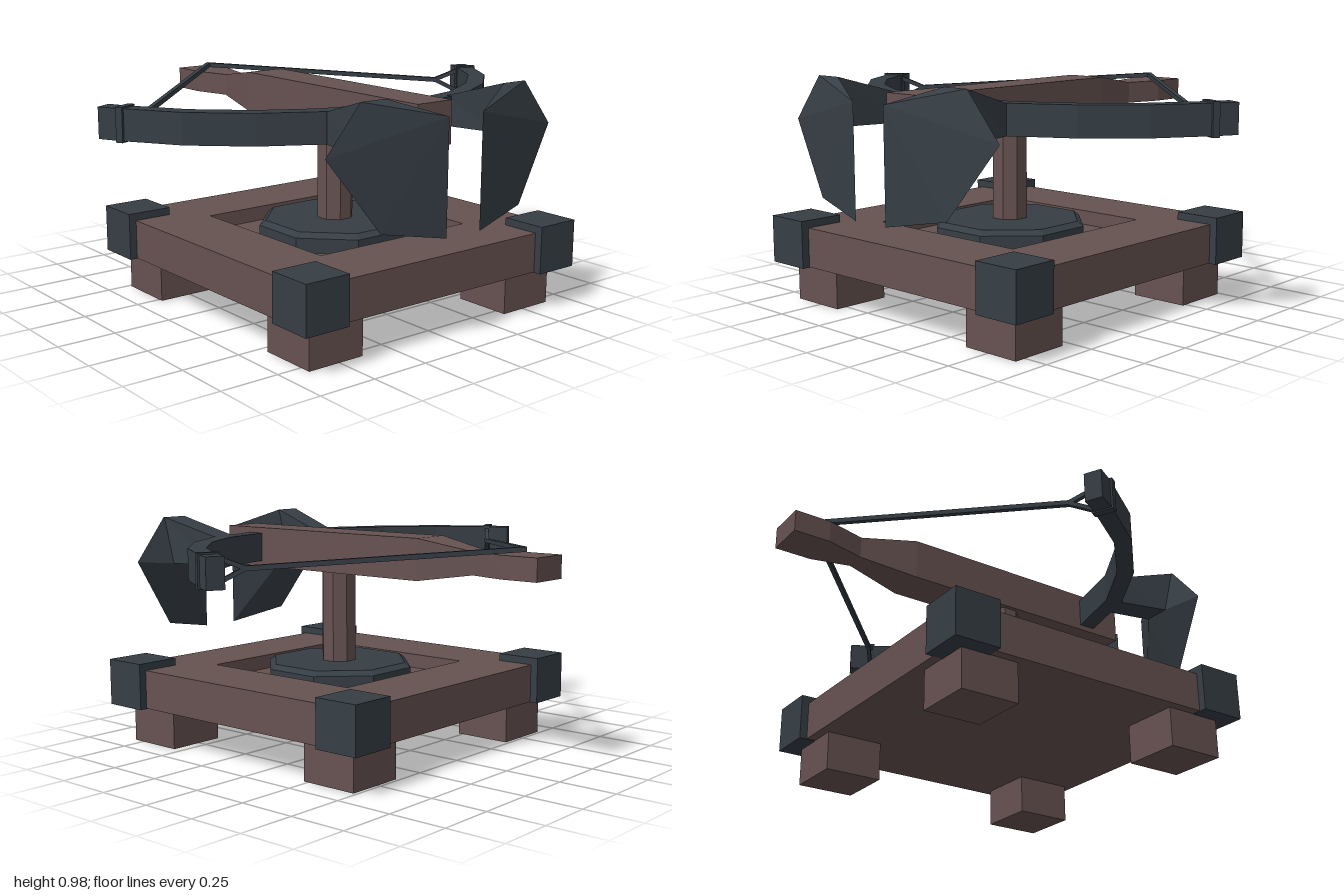
import * as THREE from 'three';
import { ConvexGeometry } from 'three/addons/geometries/ConvexGeometry.js';

const mat = (name, color) => {
  const m = new THREE.MeshStandardMaterial({ color, flatShading: true });
  m.name = name;
  return m;
};

// Joins a row of four-cornered cross-sections into a closed solid
function loft(sections) {
  const pos = [];
  const quad = (a, b, c, d) => [a, b, c, a, c, d].forEach((p) => pos.push(...p));
  for (let i = 0; i < sections.length - 1; i++) {
    const s = sections[i], t = sections[i + 1];
    for (let j = 0; j < 4; j++) {
      const k = (j + 1) % 4;
      quad(s[j], s[k], t[k], t[j]);
    }
  }
  const a = sections[0], b = sections[sections.length - 1];
  quad(a[3], a[2], a[1], a[0]);
  quad(b[0], b[1], b[2], b[3]);
  const g = new THREE.BufferGeometry();
  g.setAttribute('position', new THREE.Float32BufferAttribute(pos, 3));
  g.computeVertexNormals();
  return g;
}

// Upright rectangle across the z axis
const rectZ = (z, x0, x1, y0, y1) => [[x0, y0, z], [x1, y0, z], [x1, y1, z], [x0, y1, z]];

export function createModel() {
  const model = new THREE.Group();
  model.name = 'mountedCrossbow';
  const wood = mat('wood', 0x665251);
  const iron = mat('darkIron', 0x363e45);

  const add = (name, geo, material, x = 0, y = 0, z = 0) => {
    const m = new THREE.Mesh(geo, material);
    m.name = name;
    m.position.set(x, y, z);
    model.add(m);
    return m;
  };
  const box = (name, material, w, h, d, x, y, z) =>
    add(name, new THREE.BoxGeometry(w, h, d), material, x, y, z);
  const bar = (name, a, b, t) => {
    const p = new THREE.Vector3(...a), q = new THREE.Vector3(...b);
    const mid = p.clone().add(q).multiplyScalar(0.5);
    const m = box(name, iron, t, t, p.distanceTo(q) + t * 0.5, mid.x, mid.y, mid.z);
    m.lookAt(q);
  };
  const cz = 0.157; // centre of the base and post

  // Square base with a sunken middle
  const square = (P, r) => new P([[-r, -r], [r, -r], [r, r], [-r, r]].map((p) => new THREE.Vector2(...p)));
  const frame = square(THREE.Shape, 0.683);
  frame.holes.push(square(THREE.Path, 0.387));
  const frameGeo = new THREE.ExtrudeGeometry(frame, { depth: 0.168, bevelEnabled: false });
  frameGeo.rotateX(-Math.PI / 2);
  add('baseFrame', frameGeo, wood, 0, 0.168, cz);
  box('baseFloor', wood, 0.774, 0.105, 0.774, 0, 0.2205, cz);

  // Feet and corner caps
  for (const sx of [-1, 1]) for (const sz of [-1, 1]) {
    box('foot', wood, 0.257, 0.17, 0.257, sx * 0.515, 0.085, cz + sz * 0.514);
    box('cornerCap', iron, 0.202, 0.202, 0.202, sx * 0.615, 0.267, cz + sz * 0.616);
  }

  // Octagonal turntable with a bevelled rim, and the post
  const octagon = (rTop, rBottom, h) => {
    const k = Math.cos(Math.PI / 8);
    return new THREE.CylinderGeometry(rTop / k, rBottom / k, h, 8).rotateY(Math.PI / 8);
  };
  add('turntable', octagon(0.308, 0.308, 0.065), iron, 0, 0.3025, cz);
  add('turntableBevel', octagon(0.283, 0.308, 0.02), iron, 0, 0.345, cz);
  add('post', octagon(0.072, 0.072, 0.42), wood, 0, 0.55, cz);

  // Stock, narrowing to a neck before the butt
  const stock = [
    [-0.93, 0.088, 0.79, 0.885], [-0.77, 0.088, 0.79, 0.885], [-0.6, 0.045, 0.79, 0.885],
    [-0.35, 0.09, 0.752, 0.928], [0.76, 0.09, 0.752, 0.928],
  ];
  add('stock', loft(stock.map(([z, w, y0, y1]) => rectZ(z, -w, w, y0, y1))), wood);

  // Bow, swept along a bent line in plan
  const half = [[0.1, 0.583], [0.36, 0.522], [0.585, 0.395], [0.782, 0.213], [0.925, -0.01], [0.965, -0.09]];
  const line = [...half.map(([x, z]) => [-x, z]).reverse(), ...half];
  const bow = line.map(([x, z], i) => {
    const p = line[Math.max(i - 1, 0)], q = line[Math.min(i + 1, line.length - 1)];
    const l = Math.hypot(q[0] - p[0], q[1] - p[1]);
    const nx = -(q[1] - p[1]) / l * 0.037, nz = (q[0] - p[0]) / l * 0.037;
    const y0 = 0.776, y1 = 0.903;
    return [[x + nx, y0, z + nz], [x - nx, y0, z - nz], [x - nx, y1, z - nz], [x + nx, y1, z + nz]];
  });
  add('bow', loft(bow), iron);

  for (const s of [-1, 1]) {
    // Binding at the bow tip, and the forked string
    const band = box('stringBinding', iron, 0.09, 0.14, 0.03, s * 0.92, 0.84, 0);
    band.rotation.y = Math.atan2(s * 0.045, -0.09);
    const joint = [s * 0.8, 0.845, -0.08];
    for (const y of [0.89, 0.79]) bar('stringFork', [s * 0.89, y, -0.015], joint, 0.018);
    bar('bowString', joint, [0, 0.905, -0.812], 0.02);

    // Strut from the bow to the shield
    const span = (a, b) => [Math.min(s * a, s * b), Math.max(s * a, s * b)];
    const [a0, a1] = span(0.26, 0.37), [b0, b1] = span(0.308, 0.425);
    add('shieldStrut', loft([
      rectZ(0.56, a0, a1, 0.776, 0.903),
      [[b0, 0.776, 0.775], [b1, 0.776, 0.775], [b1, 0.98, 0.825], [b0, 0.98, 0.825]],
    ]), iron);

    // Faceted shield plate
    const corners = [
      [0.43, 0.98, 0.825], [0.31, 0.98, 0.825], [0.088, 0.905, 0.93], [0.088, 0.438, 0.93],
      [0.367, 0.488, 0.873], [0.588, 0.79, 0.82], [0.425, 0.776, 0.77], [0.308, 0.776, 0.77],
    ];
    add('shield', new ConvexGeometry(corners.map(([x, y, z]) => new THREE.Vector3(s * x, y, z))), iron);
  }
  return model;
}
